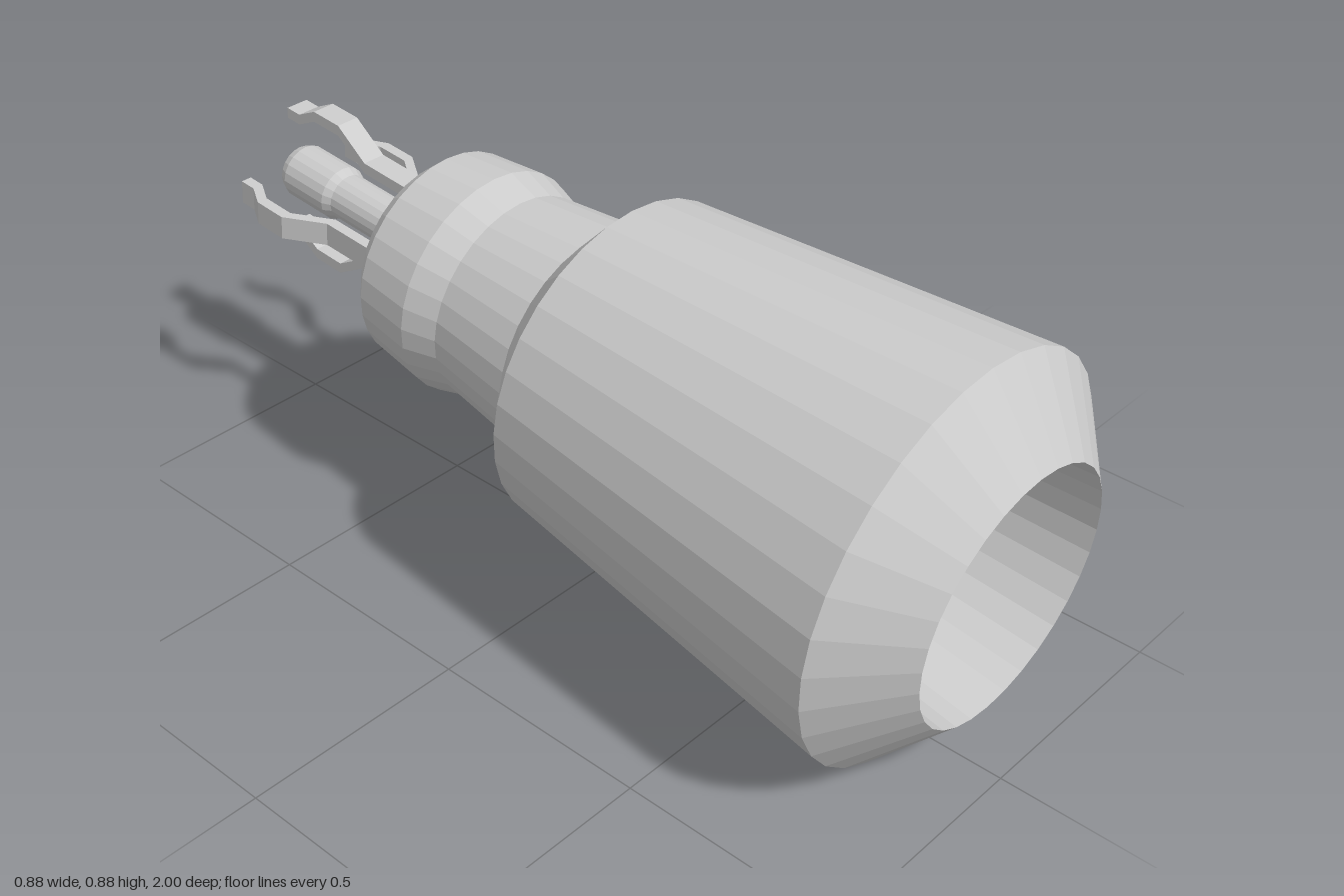
import * as THREE from 'three';

const material = new THREE.MeshStandardMaterial({ color: 0xcccccc, flatShading: true });

// Lathe from [radius, distance along the axis] pairs
function turned(name, profile, sides) {
  const points = profile.map(([r, s]) => new THREE.Vector2(r, s));
  const mesh = new THREE.Mesh(new THREE.LatheGeometry(points, sides), material);
  mesh.name = name;
  return mesh;
}

// Bent spring strip: a centre line thickened radially, extruded to its width
function prongGeometry() {
  const path = [[0.122, 0.5], [0.124, 0.735], [0.18, 0.82], [0.18, 0.9], [0.151, 0.95], [0.151, 0.99]];
  const half = 0.0125, width = 0.055;
  const inner = path.map(([r, s]) => new THREE.Vector2(r - half, s));
  const outer = path.map(([r, s]) => new THREE.Vector2(r + half, s)).reverse();
  const geometry = new THREE.ExtrudeGeometry(new THREE.Shape([...inner, ...outer]), {
    depth: width, bevelEnabled: false,
  });
  return geometry.translate(0, 0, -width / 2);
}

export function createModel() {
  const model = new THREE.Group();
  model.name = 'plugConnector';

  // Everything shares one axis, local +y running to the back, raised 5 degrees
  const body = new THREE.Group();
  body.name = 'connectorBody';
  body.position.y = 0.516;
  body.rotation.x = THREE.MathUtils.degToRad(-85);
  model.add(body);

  // Housing: bore floor, bore wall, front bevel, tapered barrel, neck, collar, end face
  body.add(turned('housing', [
    [0, -0.57], [0.24, -0.57], [0.277, -0.98], [0.442, -0.844], [0.36, -0.01],
    [0.259, 0.075], [0.234, 0.29], [0.257, 0.366], [0.242, 0.507], [0.206, 0.547], [0, 0.547],
  ], 32));

  // Centre pin with a thicker tip
  body.add(turned('centrePin', [
    [0, 0.5], [0.053, 0.5], [0.053, 0.82], [0.063, 0.84], [0.063, 0.965], [0.054, 0.985], [0, 0.985],
  ], 20));

  // Four spring prongs around the pin
  const geometry = prongGeometry();
  for (let i = 0; i < 4; i++) {
    const prong = new THREE.Mesh(geometry, material);
    prong.name = `springProng${i + 1}`;
    prong.rotation.y = (i * Math.PI) / 2;
    body.add(prong);
  }
  return model;
}
